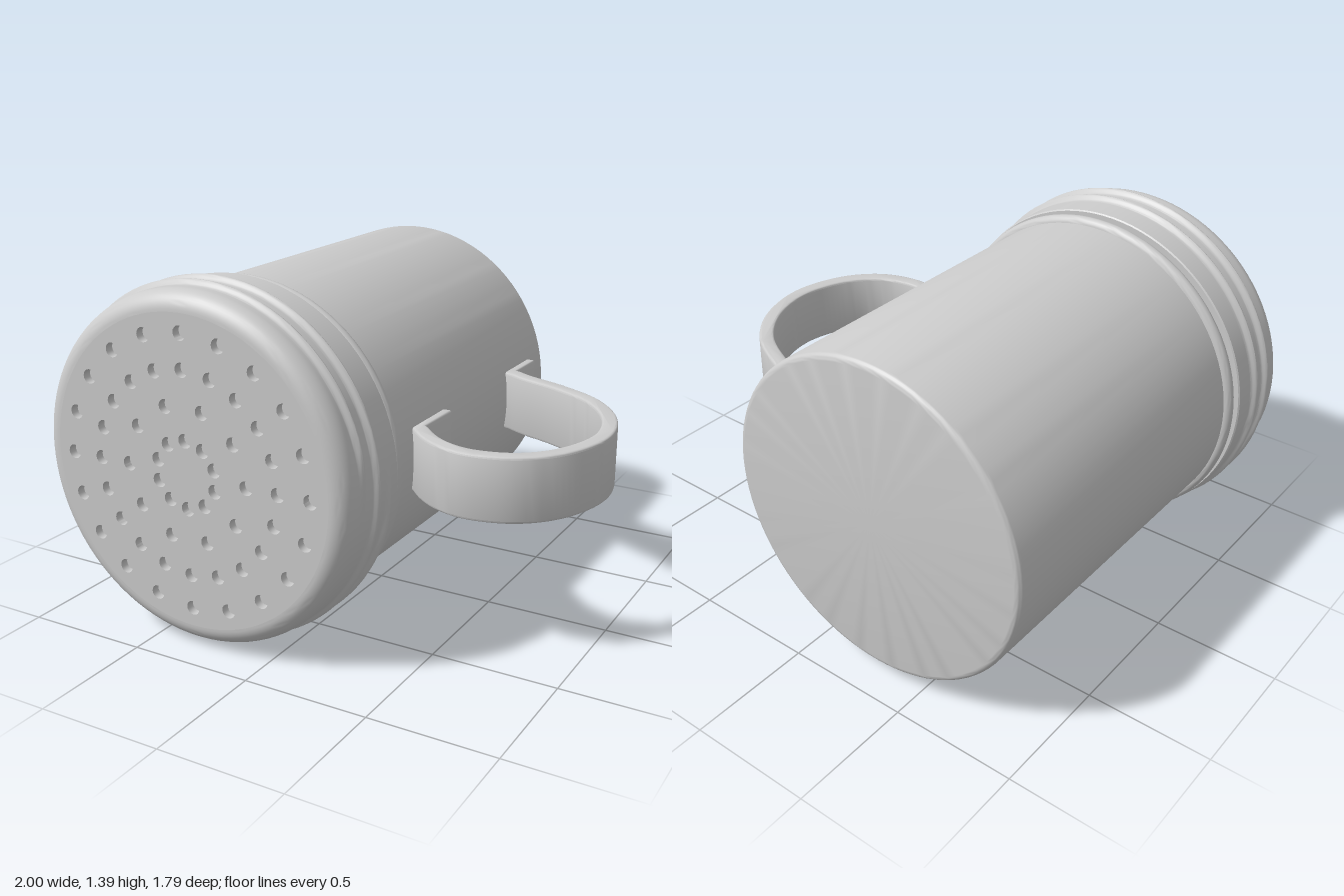
import * as THREE from 'three';
import { mergeVertices, toCreasedNormals } from 'three/addons/utils/BufferGeometryUtils.js';

const CX = -0.305, CY = 0.695;       // axis of the can, running along z
const SEG = 96;
const material = new THREE.MeshStandardMaterial({ color: 0xcccccc });

function addMesh(parent, name, geometry) {
  const mesh = new THREE.Mesh(geometry, material);
  mesh.name = name;
  parent.add(mesh);
  return mesh;
}

// Quarter-round or other arc as profile points [radius, z]
function arc(r, z, size, from, to, n) {
  return Array.from({ length: n + 1 }, (_, i) => {
    const a = from + (to - from) * i / n;
    return [r + size * Math.cos(a), z + size * Math.sin(a)];
  });
}

// Lathe turned so its axis is z; `reshape` may move each vertex
function turned(profile, reshape) {
  let g = new THREE.LatheGeometry(profile.map(p => new THREE.Vector2(...p)), SEG);
  g.rotateX(Math.PI / 2);
  g.deleteAttribute('uv');
  g.deleteAttribute('normal');
  if (reshape) {
    const pos = g.attributes.position, v = new THREE.Vector3();
    for (let i = 0; i < pos.count; i++) {
      reshape(v.fromBufferAttribute(pos, i));
      pos.setXYZ(i, v.x, v.y, v.z);
    }
  }
  g = mergeVertices(g, 1e-5);
  return toCreasedNormals(g, 0.6);
}

// Helical ridge: two turns round the cap, fading out at both ends
function thread(v) {
  const r = Math.hypot(v.x, v.y);
  if (r < 0.67 || v.z < 0.56 || v.z > 0.82) return;
  let turn = Math.atan2(-v.y, v.x) / (2 * Math.PI);
  if (turn < -1e-6) turn += 1;
  let lift = 0;
  for (let n = -1; n <= 2; n++) {
    const t = turn + n;
    const fade = THREE.MathUtils.smoothstep(t, -0.02, 0.05) * (1 - THREE.MathUtils.smoothstep(t, 1.95, 2.02));
    const d = Math.abs(v.z - (0.61 + 0.09 * t)) / 0.025;
    if (d < 1) lift = Math.max(lift, fade * 0.02 * (0.5 + 0.5 * Math.cos(Math.PI * d)));
  }
  const k = (r + lift) / r;
  v.x *= k;
  v.y *= k;
}

// Band of constant thickness around a centre line, as a closed shape
function bandShape(points, half) {
  const left = [], right = [];
  points.forEach((p, i) => {
    const a = points[Math.max(i - 1, 0)], b = points[Math.min(i + 1, points.length - 1)];
    const d1 = (i ? p.clone().sub(a) : b.clone().sub(p)).normalize();
    const d2 = (i < points.length - 1 ? b.clone().sub(p) : d1.clone()).normalize();
    const n = new THREE.Vector2(-d1.y - d2.y, d1.x + d2.x).normalize();
    const miter = half / Math.max(0.6, n.dot(new THREE.Vector2(-d1.y, d1.x)));
    left.push(p.clone().addScaledVector(n, miter));
    right.unshift(p.clone().addScaledVector(n, -miter));
  });
  return new THREE.Shape([...left, ...right]);
}

export function createModel() {
  const model = new THREE.Group();
  model.name = 'shaker';
  const can = new THREE.Group();
  can.name = 'can';
  can.position.set(CX, CY, 0);
  model.add(can);

  // Can body with rounded base and a bead below the cap
  addMesh(can, 'body', turned([
    [0, -0.895], ...arc(0.618, -0.87, 0.025, -Math.PI / 2, 0, 6),
    [0.643, 0.474], ...arc(0.64, 0.503, 0.028, -Math.PI / 2, Math.PI / 2, 12),
    [0.64, 0.56], [0, 0.56],
  ]));

  // Cap wall with thread and rounded front edge
  const wall = Array.from({ length: 57 }, (_, i) => [0.677, 0.545 + 0.275 * i / 56]);
  addMesh(can, 'cap', turned([
    [0.6, 0.54], [0.672, 0.54], ...wall,
    ...arc(0.602, 0.82, 0.075, 0, Math.PI / 2, 12),
  ], thread));

  // Perforated face: rings of [count, radius, first angle]
  const face = new THREE.Shape(Array.from({ length: SEG }, (_, i) => {
    const a = i / SEG * 2 * Math.PI;
    return new THREE.Vector2(0.602 * Math.cos(a), 0.602 * Math.sin(a));
  }));
  for (const [count, radius, start] of [[20, 0.529, 0], [20, 0.395, 0], [10, 0.262, 0], [10, 0.131, Math.PI / 10]]) {
    for (let i = 0; i < count; i++) {
      const a = start + i / count * 2 * Math.PI;
      face.holes.push(new THREE.Path().absarc(radius * Math.cos(a), radius * Math.sin(a), 0.028, 0, 2 * Math.PI, true));
    }
  }
  const plate = new THREE.ExtrudeGeometry(face, { depth: 0.035, bevelEnabled: false, curveSegments: 8 });
  addMesh(can, 'perforatedFace', toCreasedNormals(plate, 0.6)).position.z = 0.86;
  addMesh(can, 'faceBacking', new THREE.CircleGeometry(0.6, SEG)).position.z = 0.861;

  // Strap handle: two flat tabs joined by a loop, drawn in x and z
  const loop = new THREE.CatmullRomCurve3([
    [0.345, -0.53], [0.42, -0.487], [0.605, -0.415], [0.79, -0.305], [0.92, -0.13], [0.968, 0.09],
    [0.9, 0.31], [0.78, 0.43], [0.62, 0.473], [0.51, 0.45], [0.42, 0.395], [0.335, 0.31],
  ].map(([x, z]) => new THREE.Vector3(x, z, 0)), false, 'centripetal');
  const line = [
    new THREE.Vector2(0.325, -0.745),
    ...loop.getSpacedPoints(72).map(p => new THREE.Vector2(p.x, p.y)),
    new THREE.Vector2(0.325, 0.08),
  ];
  line[1].x = 0.325;
  line[line.length - 2].x = 0.325;
  const strap = new THREE.ExtrudeGeometry(bandShape(line, 0.031), {
    depth: 0.23, bevelThickness: 0.01, bevelSize: 0.01, bevelOffset: -0.01, bevelSegments: 3,
  });
  strap.translate(0, 0, -0.115);
  strap.rotateX(Math.PI / 2);
  addMesh(model, 'handle', toCreasedNormals(strap, 0.6)).position.y = CY;

  return model;
}
